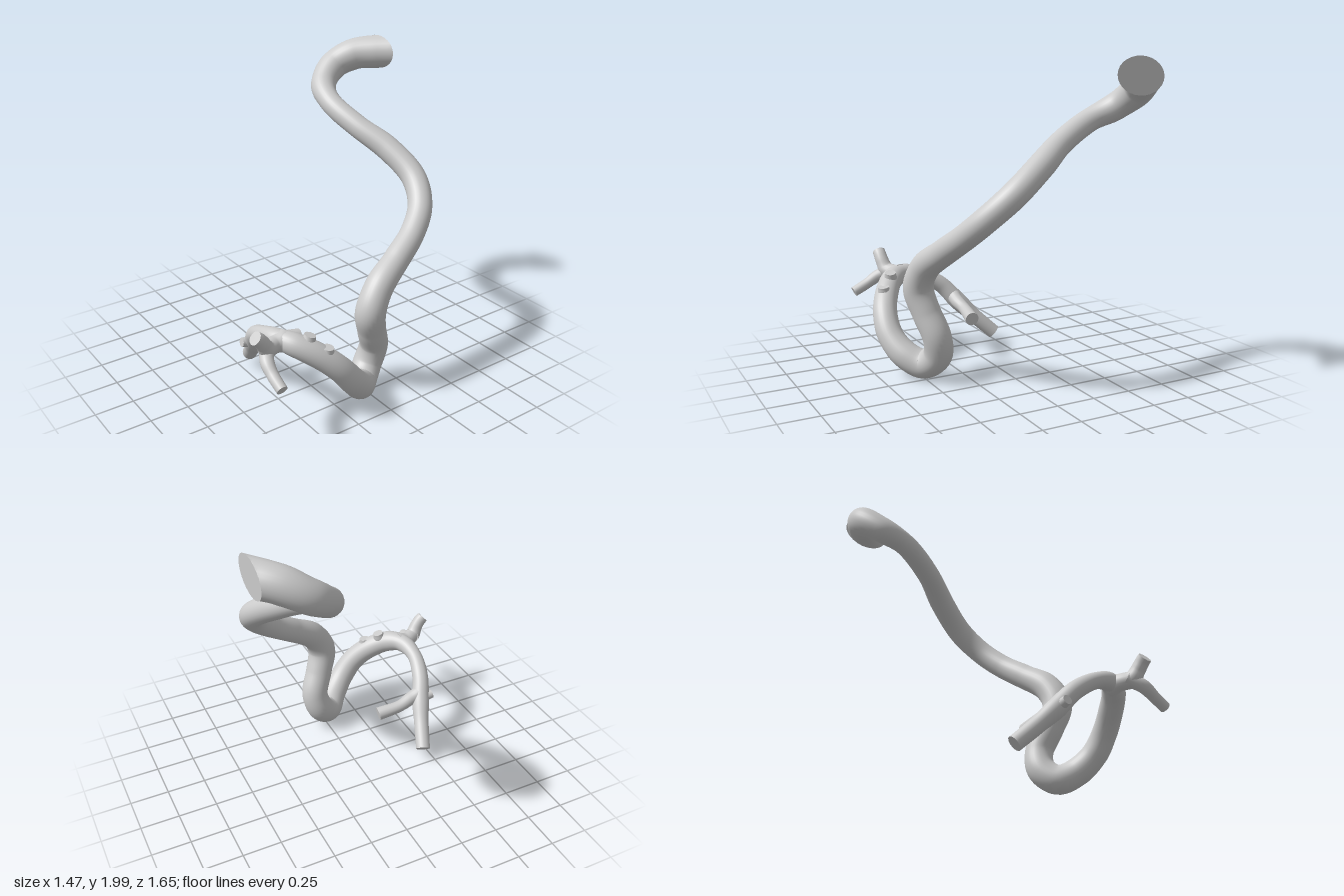
import * as THREE from 'three';

const material = new THREE.MeshStandardMaterial({ color: 0xcccccc });
const CUT_Z = -0.82;

// Smooth capped tube of varying radius; stations are [x, y, z, radius].
// With cutZ, everything behind that plane slides along the path onto it.
function vessel(name, stations, steps, sides, cutZ = -Infinity) {
  const curve = new THREE.CatmullRomCurve3(stations.map(s => new THREE.Vector3(s[0], s[1], s[2])));
  const frames = curve.computeFrenetFrames(steps, false);
  const last = stations.length - 1;
  const positions = [], index = [];

  for (let i = 0; i <= steps; i++) {
    const t = curve.getUtoTmapping(i / steps);
    const k = Math.min(Math.floor(t * last), last - 1);
    const r = THREE.MathUtils.lerp(stations[k][3], stations[k + 1][3], THREE.MathUtils.smoothstep(t * last - k, 0, 1));
    const centre = curve.getPoint(t);
    for (let j = 0; j < sides; j++) {
      const a = (j / sides) * Math.PI * 2;
      const p = centre.clone()
        .addScaledVector(frames.normals[i], r * Math.cos(a))
        .addScaledVector(frames.binormals[i], r * Math.sin(a));
      const dir = frames.tangents[i];
      if (p.z < cutZ) p.addScaledVector(dir, (cutZ - p.z) / dir.z);
      positions.push(p.x, p.y, p.z);
    }
  }
  for (let i = 0; i < steps; i++) {
    for (let j = 0; j < sides; j++) {
      const n = (j + 1) % sides;
      const a = i * sides + j, b = i * sides + n, c = a + sides, d = b + sides;
      index.push(a, b, c, b, d, c);
    }
  }

  // Flat end caps with their own vertices, so the rims stay sharp
  for (const end of [0, steps]) {
    const base = positions.length / 3;
    const mid = new THREE.Vector3();
    for (let j = 0; j < sides; j++) {
      const o = (end * sides + j) * 3;
      const p = new THREE.Vector3(positions[o], positions[o + 1], positions[o + 2]);
      mid.addScaledVector(p, 1 / sides);
      positions.push(p.x, p.y, p.z);
    }
    positions.push(mid.x, mid.y, mid.z);
    for (let j = 0; j < sides; j++) {
      const n = (j + 1) % sides;
      if (end) index.push(base + sides, base + j, base + n);
      else index.push(base + sides, base + n, base + j);
    }
  }

  const geometry = new THREE.BufferGeometry();
  geometry.setAttribute('position', new THREE.Float32BufferAttribute(positions, 3));
  geometry.setIndex(index);
  geometry.computeVertexNormals();
  const mesh = new THREE.Mesh(geometry, material);
  mesh.name = name;
  return mesh;
}

export function createModel() {
  const model = new THREE.Group();
  model.name = 'branchingVessel';

  // Main trunk: from the flat cut at the top, down the S-bend, round the
  // bottom loop, over the front arch and out to its tip
  model.add(vessel('mainTrunk', [
    [-0.37, 1.90, -0.92, 0.11],
    [-0.475, 1.89, -0.82, 0.11],
    [-0.58, 1.87, -0.70, 0.105],
    [-0.64, 1.80, -0.57, 0.096],
    [-0.58, 1.70, -0.44, 0.085],
    [-0.43, 1.62, -0.387, 0.072],
    [-0.20, 1.50, -0.44, 0.073],
    [0.00, 1.38, -0.54, 0.08],
    [0.20, 1.235, -0.59, 0.08],
    [0.34, 1.10, -0.53, 0.078],
    [0.425, 0.975, -0.40, 0.078],
    [0.48, 0.86, -0.23, 0.082],
    [0.525, 0.74, -0.06, 0.09],
    [0.54, 0.60, 0.01, 0.095],
    [0.505, 0.45, -0.03, 0.09],
    [0.46, 0.30, -0.085, 0.09],
    [0.445, 0.17, -0.05, 0.092],
    [0.50, 0.10, 0.035, 0.092],
    [0.59, 0.15, 0.12, 0.088],
    [0.645, 0.25, 0.22, 0.082],
    [0.645, 0.36, 0.31, 0.078],
    [0.60, 0.455, 0.41, 0.076],
    [0.51, 0.535, 0.53, 0.072],
    [0.41, 0.555, 0.592, 0.06],
    [0.27, 0.525, 0.61, 0.05],
    [0.13, 0.44, 0.58, 0.055],
    [0.03, 0.325, 0.53, 0.06],
    [-0.08, 0.21, 0.48, 0.05],
    [-0.20, 0.095, 0.43, 0.048],
  ], 300, 28, CUT_Z));

  // Side branch running back from the lower fork
  model.add(vessel('rearBranch', [
    [0.06, 0.37, 0.545, 0.05],
    [0.06, 0.34, 0.47, 0.045],
    [0.05, 0.31, 0.38, 0.04],
    [0.07, 0.28, 0.22, 0.045],
  ], 30, 18));

  // Short stub facing forward at the lower fork
  model.add(vessel('forwardStub', [
    [0.04, 0.33, 0.53, 0.04],
    [0.035, 0.34, 0.575, 0.033],
    [0.03, 0.35, 0.62, 0.029],
  ], 10, 16));

  // Neck leaving the arch forward and turning up to a blunt tip
  model.add(vessel('upperBranch', [
    [0.44, 0.55, 0.57, 0.07],
    [0.45, 0.55, 0.65, 0.052],
    [0.48, 0.56, 0.71, 0.052],
    [0.495, 0.61, 0.745, 0.045],
    [0.50, 0.65, 0.775, 0.043],
    [0.50, 0.672, 0.80, 0.042],
  ], 36, 18));

  // Thin branch running down and to the side from the neck
  model.add(vessel('sideBranch', [
    [0.45, 0.56, 0.69, 0.045],
    [0.53, 0.515, 0.745, 0.042],
    [0.61, 0.465, 0.755, 0.036],
    [0.70, 0.42, 0.755, 0.034],
  ], 30, 18));

  // Two trimmed stumps on top of the arch
  const stumps = [[0.615, 0.455, 0.395, 0.625, 0.53, 0.388], [0.54, 0.525, 0.48, 0.548, 0.60, 0.46]];
  for (const [x, y, z, tx, ty, tz] of stumps) {
    model.add(vessel('trimmedStump', [
      [x, y, z, 0.045],
      [(x + tx) / 2, (y + ty) / 2, (z + tz) / 2, 0.042],
      [tx, ty, tz, 0.036],
    ], 8, 18));
  }

  return model;
}
